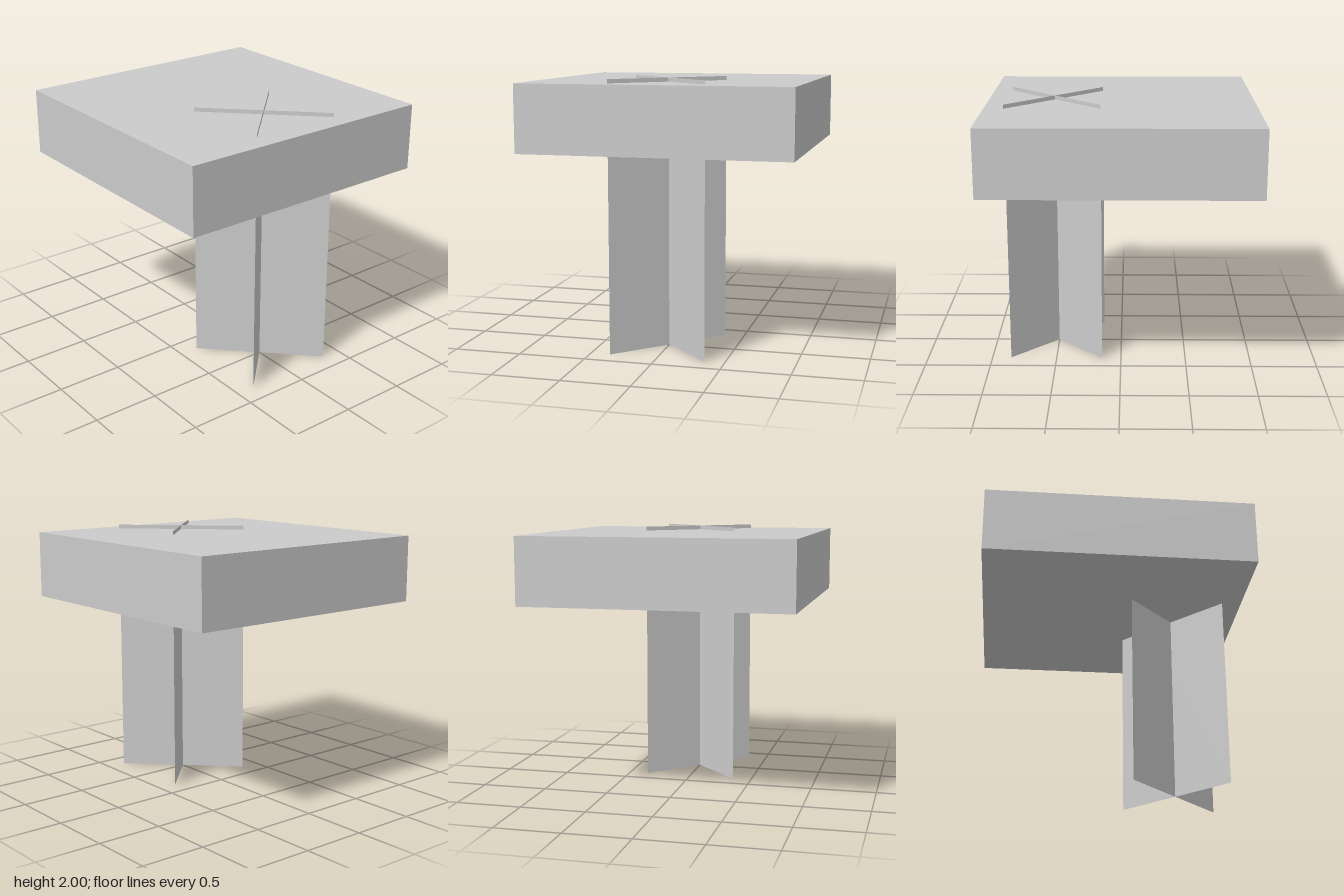
import * as THREE from 'three';

export function createModel() {
  const model = new THREE.Group();
  model.name = 'plant';

  // Square block crown
  const crown = new THREE.Mesh(
    new THREE.BoxGeometry(2, 0.5, 2),
    new THREE.MeshStandardMaterial({ color: 0xcccccc, flatShading: true })
  );
  crown.name = 'crown';
  crown.position.y = 1.72;
  model.add(crown);

  // Stem: two thin upright sheets crossed on the diagonals, off-centre to the front
  const stem = new THREE.Group();
  stem.name = 'stem';
  stem.position.set(0, 1, 0.5);
  const sheet = new THREE.PlaneGeometry(1, 2);
  const sheetMaterial = new THREE.MeshStandardMaterial({ color: 0xcccccc, side: THREE.DoubleSide });
  for (const turn of [1, -1]) {
    const mesh = new THREE.Mesh(sheet, sheetMaterial);
    mesh.name = turn > 0 ? 'stemSheetA' : 'stemSheetB';
    mesh.rotation.y = (turn * Math.PI) / 4;
    stem.add(mesh);
  }
  model.add(stem);

  return model;
}
